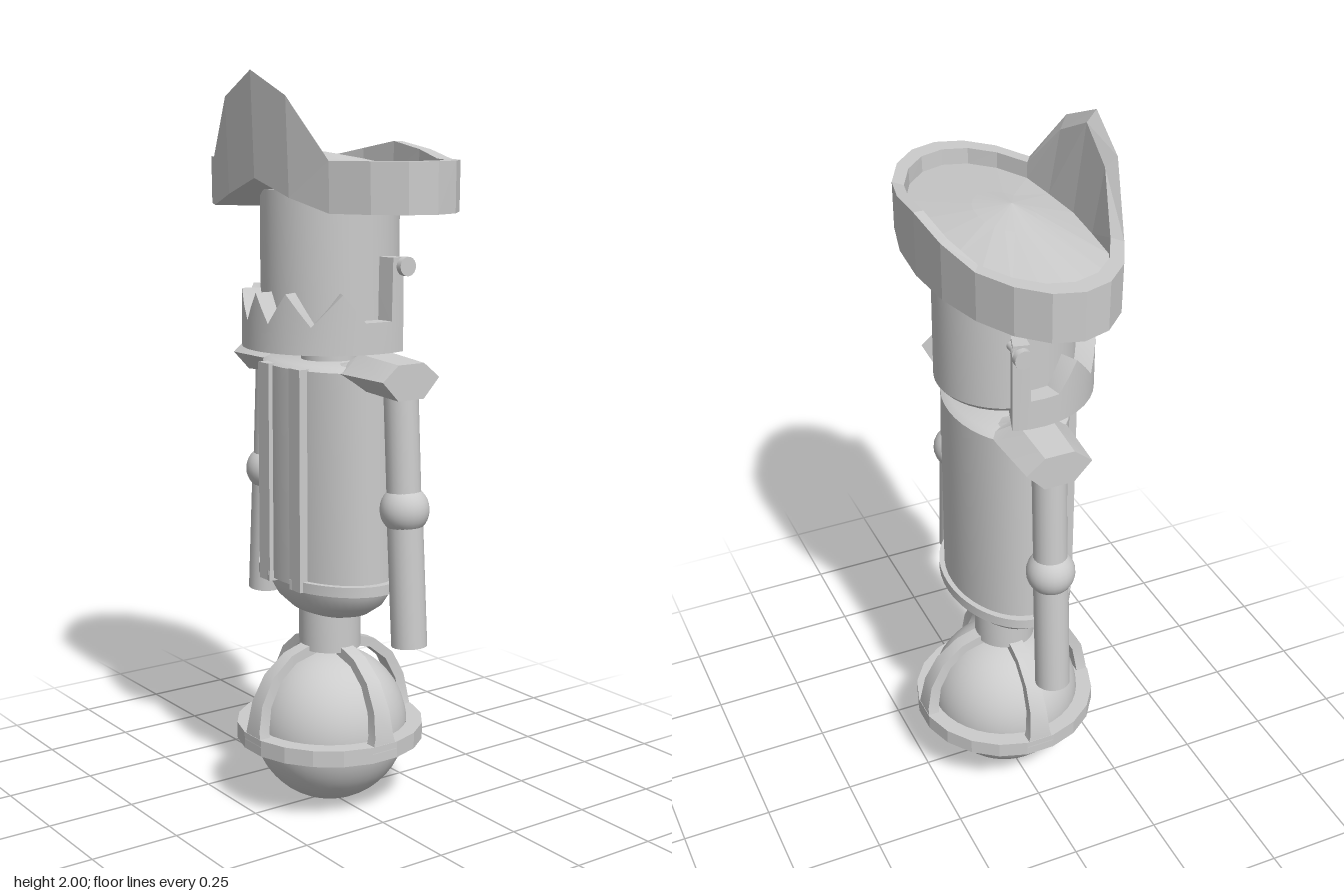
import * as THREE from 'three';
import { toCreasedNormals } from 'three/addons/utils/BufferGeometryUtils.js';

const V = (x, y, z) => new THREE.Vector3(x, y, z);
const rad = THREE.MathUtils.degToRad;

// Skins a row of closed cross-sections; closed joins the last to the first, otherwise ends are capped.
function loft(sections, { closed = false, crease = 0.5 } = {}) {
  const tris = [], n = sections[0].length, m = sections.length;
  for (let i = 0; i < (closed ? m : m - 1); i++) {
    const a = sections[i], b = sections[(i + 1) % m];
    for (let j = 0; j < n; j++) {
      const k = (j + 1) % n;
      tris.push([a[j], b[j], b[k]], [a[j], b[k], a[k]]);
    }
  }
  if (!closed) {
    for (let j = 1; j < n - 1; j++) {
      const a = sections[0], b = sections[m - 1];
      tris.push([a[0], a[j], a[j + 1]], [b[0], b[j + 1], b[j]]);
    }
  }
  // turn the skin outward
  let volume = 0;
  for (const [a, b, c] of tris) volume += a.dot(b.clone().cross(c));
  const points = tris.flatMap(([a, b, c]) => (volume < 0 ? [a, c, b] : [a, b, c]));
  const geo = new THREE.BufferGeometry().setFromPoints(points);
  geo.computeVertexNormals();
  return crease ? toCreasedNormals(geo, crease) : geo;
}

// Cross-section of [radius, y] points turned to an angle from the front
const turned = (deg, points, zScale = 1) => points.map(([r, y]) =>
  V(r * Math.sin(rad(deg)), y, r * Math.cos(rad(deg)) * zScale));

const range = (a, b, n) => Array.from({ length: n + 1 }, (_, i) => a + ((b - a) * i) / n);

const lathe = (points) => toCreasedNormals(
  new THREE.LatheGeometry(points.map(([r, y]) => new THREE.Vector2(r, y)), 40), 0.5);

export function createModel() {
  const root = new THREE.Group();
  const material = new THREE.MeshStandardMaterial({ color: 0xcccccc });
  const flat = new THREE.MeshStandardMaterial({ color: 0xcccccc, flatShading: true });
  const add = (name, geo, mat = material) => {
    const mesh = new THREE.Mesh(geo, mat);
    mesh.name = name;
    root.add(mesh);
    return mesh;
  };
  // round bar between two points
  const bar = (name, a, b, r) => {
    const mesh = add(name, new THREE.CylinderGeometry(r, r, a.distanceTo(b), 20));
    mesh.position.copy(a).lerp(b, 0.5);
    mesh.quaternion.setFromUnitVectors(V(0, 1, 0), b.clone().sub(a).normalize());
    return mesh;
  };

  // Rolling ball with its ring and four ribs
  add('ball', new THREE.SphereGeometry(0.215, 40, 28)).position.y = 0.22;
  add('ballRing', loft(range(9, 351, 19).map((a) =>
    turned(a, [[0.215, 0.185], [0.26, 0.185], [0.26, 0.23], [0.215, 0.23]])), { closed: true, crease: 0 }), flat);
  // inner radius, inner y, outer radius, outer y, half width
  const ribPath = [
    [0.225, 0.21, 0.257, 0.21, 0.04], [0.222, 0.25, 0.254, 0.25, 0.03],
    [0.212, 0.31, 0.241, 0.32, 0.025], [0.178, 0.375, 0.203, 0.39, 0.022],
    [0.125, 0.418, 0.14, 0.441, 0.02], [0.06, 0.435, 0.07, 0.463, 0.02],
  ];
  for (let i = 0; i < 4; i++) {
    add('ballRib', loft(ribPath.map(([ri, yi, ro, yo, w]) =>
      [V(-w, yi, ri), V(w, yi, ri), V(w, yo, ro), V(-w, yo, ro)])))
      .rotation.y = (i * Math.PI) / 2;
  }
  add('waist', lathe([[0, 0.445], [0.085, 0.445], [0.085, 0.56], [0, 0.56]]));

  // Oval torso with rounded base
  add('torsoBase', lathe([[0, 0.54], [0.08, 0.542], [0.14, 0.56], [0.185, 0.59],
    [0.21, 0.625], [0.218, 0.66], [0, 0.66]])).scale.z = 0.67;
  add('torso', lathe([[0, 0.65], [0.225, 0.65], [0.225, 1.235], [0.2, 1.247], [0, 1.25]])).scale.z = 0.7;
  // Coat hem, open at the front, and its two front edges
  add('coatHem', loft(range(12, 348, 40).map((a) =>
    turned(a, [[0.2, 0.642], [0.245, 0.642], [0.245, 0.67], [0.2, 0.67]], 0.7))));

  for (const s of [1, -1]) {
    const trim = add('coatEdge', new THREE.BoxGeometry(0.05, 0.598, 0.05));
    trim.position.set(s * 0.073, 0.941, 0.141);

    // Shoulder pad: six-sided, sinking into the torso: x, half depth, top, middle, bottom
    const pad = [[0.1, 0.1, 1.248, 1.235, 1.2], [0.14, 0.1, 1.256, 1.235, 1.2],
      [0.19, 0.1, 1.283, 1.235, 1.19], [0.35, 0.09, 1.272, 1.232, 1.18]];
    add('shoulder', loft(pad.map(([x, d, top, mid, low]) =>
      [[-1, mid], [-0.45, top], [0.45, top], [1, mid], [0.45, low], [-0.45, low]]
        .map(([k, y]) => V(s * x, y, k * d - 0.005)))));

    // Arm
    bar('upperArm', V(s * 0.3, 1.21, -0.01), V(s * 0.319, 0.89, -0.01), 0.045);
    add('elbow', new THREE.SphereGeometry(0.065, 24, 16)).position.set(s * 0.32, 0.89, -0.01);
    bar('forearm', V(s * 0.32, 0.89, -0.01), V(s * 0.345, 0.53, -0.01), 0.047);

    // Jaw hinge bolt
    bar('boltShaft', V(s * 0.18, 1.508, -0.062), V(s * 0.25, 1.508, -0.062), 0.012);
    bar('boltHead', V(s * 0.243, 1.508, -0.062), V(s * 0.26, 1.508, -0.062), 0.025);
    bar('boltCollar', V(s * 0.215, 1.508, -0.062), V(s * 0.225, 1.508, -0.062), 0.018);
  }

  // Neck and head
  add('neck', lathe([[0, 1.22], [0.078, 1.22], [0.078, 1.32], [0, 1.32]]));
  add('head', lathe([[0, 1.308], [0.175, 1.308], [0.185, 1.32], [0.185, 1.7], [0, 1.7]]));

  // Jaw with pointed teeth: angle from the front and top height
  const teeth = [[0, 1.437], [12, 1.36], [26, 1.44], [43, 1.357], [63, 1.44], [78, 1.367],
    [97.5, 1.367], [98.5, 1.53], [109, 1.53]];
  const half = teeth.flatMap(([a, y], i) => {
    if (i === 0) return [[a, y]];
    const [pa, py] = teeth[i - 1];
    return [[(a + pa) / 2, (y + py) / 2], [a, y]];
  });
  const jaw = [...half.slice(1).reverse().map(([a, y]) => [-a, y]), ...half];
  add('jaw', loft(jaw.map(([a, y]) =>
    turned(a, [[0.185, 1.285], [0.235, 1.285], [0.235, y], [0.185, y]]))));
  add('jawFloor', loft(range(-109, 109, 28).map((a) =>
    turned(a, [[0, 1.285], [0.2, 1.285], [0.2, 1.31], [0, 1.31]]))));

  // Oval hat: upturned brim with a tall front peak and a shallow domed crown
  const brimTop = { 0: 2.0, 1: 1.935, 9: 1.8, 10: 1.82 };
  const brimLow = { 0: 1.73, 1: 1.685 };
  const hat = range(0, 19, 19).map((i) => {
    const k = Math.min(i, 20 - i), a = rad(i * 18);
    const top = brimTop[k] ?? 1.778, low = brimLow[k] ?? 1.65;
    const at = (rx, rz, y) => V(rx * Math.sin(a), y, rz * Math.cos(a));
    const lean = k < 2 ? 0.008 : 0;
    return [
      V(0, 1.65, 0), at(0.455, 0.236, low), at(0.455, 0.238 + lean, top),
      at(0.402, 0.212 + lean, k < 2 ? top - 0.03 : top), at(0.4, k < 2 ? 0.19 : 0.21, 1.735),
      at(0.12, 0.07, 1.777), V(0, 1.795, 0.02),
    ];
  });
  add('hat', loft(hat, { closed: true, crease: 0 }), flat);

  return root;
}
